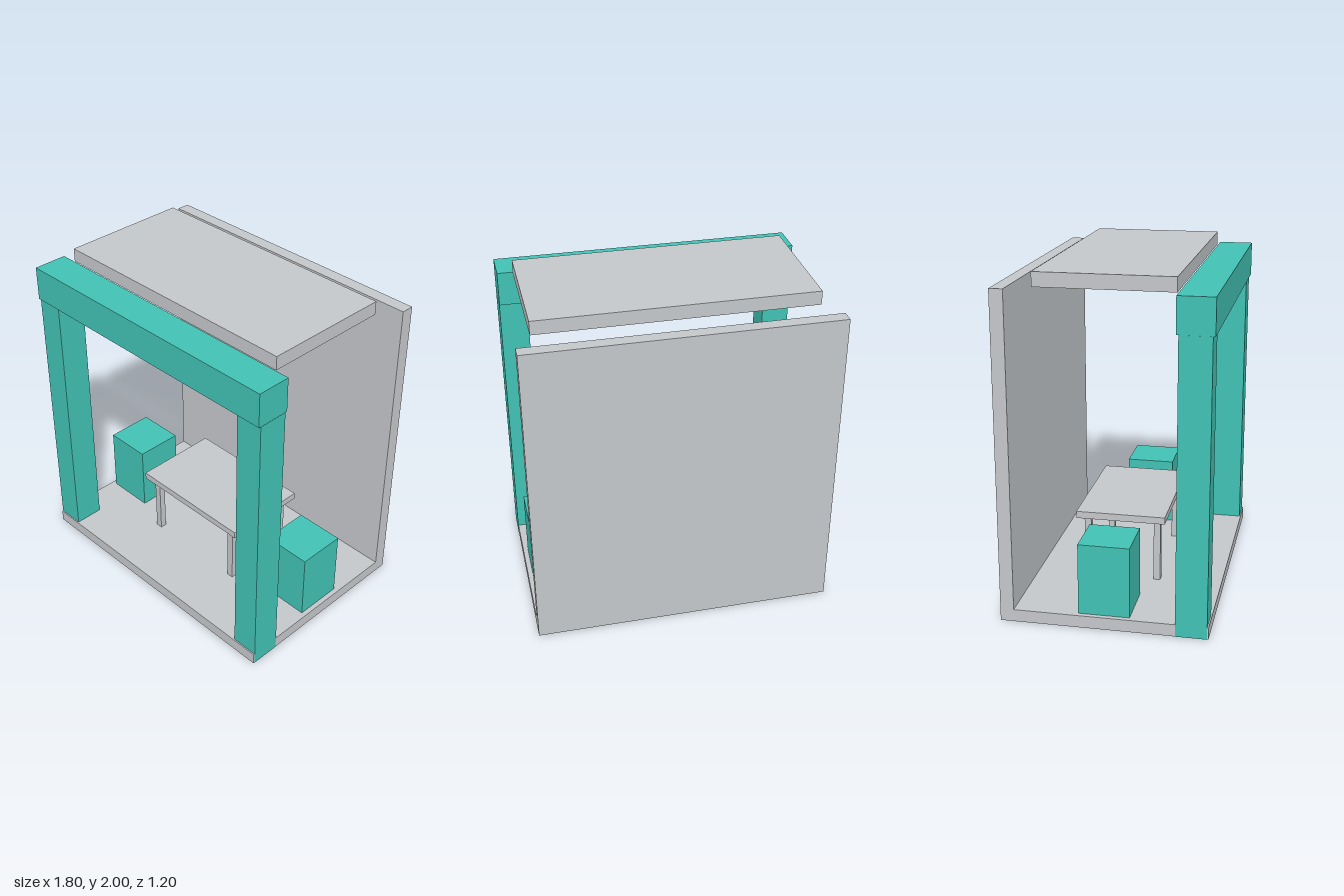
import * as THREE from 'three';

export function createModel() {
  const model = new THREE.Group();
  model.name = 'booth';

  const grey = new THREE.MeshStandardMaterial({ color: 0xc4c7ca });
  grey.name = 'light grey';
  const teal = new THREE.MeshStandardMaterial({ color: 0x41c2b4 });
  teal.name = 'teal';

  // Box given by its lower and upper bounds on each axis
  function box(name, material, [x0, x1], [y0, y1], [z0, z1], parent = model) {
    const mesh = new THREE.Mesh(new THREE.BoxGeometry(x1 - x0, y1 - y0, z1 - z0), material);
    mesh.name = name;
    mesh.position.set((x0 + x1) / 2, (y0 + y1) / 2, (z0 + z1) / 2);
    parent.add(mesh);
    return mesh;
  }

  const floorTop = 0.072;

  // Shell: floor, back wall and floating roof panel
  box('floor', grey, [-0.898, 0.898], [0, floorTop], [-0.6, 0.595]);
  box('backWall', grey, [-0.898, 0.898], [floorTop, 1.92], [-0.6, -0.522]);
  box('roofPanel', grey, [-0.807, 0.807], [1.918, 2], [-0.394, 0.386]);

  // Front portal: lintel on two pillars that run down through the floor
  box('lintel', teal, [-0.898, 0.898], [1.716, 1.921], [0.394, 0.6]);
  for (const [side, s] of [['left', 1], ['right', -1]]) {
    const span = (a, b) => [Math.min(s * a, s * b), Math.max(s * a, s * b)];
    box(side + 'Pillar', teal, span(0.733, 0.899), [-0.0005, 1.716], [0.407, 0.587]);
    box(side + 'Stool', teal, span(0.57, 0.868), [floorTop, 0.492], [-0.151, 0.145]);
  }

  // Table with four square legs
  const table = new THREE.Group();
  table.name = 'table';
  model.add(table);
  box('tableTop', grey, [-0.405, 0.405], [0.454, 0.496], [-0.272, 0.262], table);
  for (const x of [-0.331, 0.331]) {
    for (const z of [-0.214, 0.207]) {
      box('tableLeg', grey, [x - 0.021, x + 0.021], [floorTop, 0.454], [z - 0.02, z + 0.02], table);
    }
  }

  return model;
}
